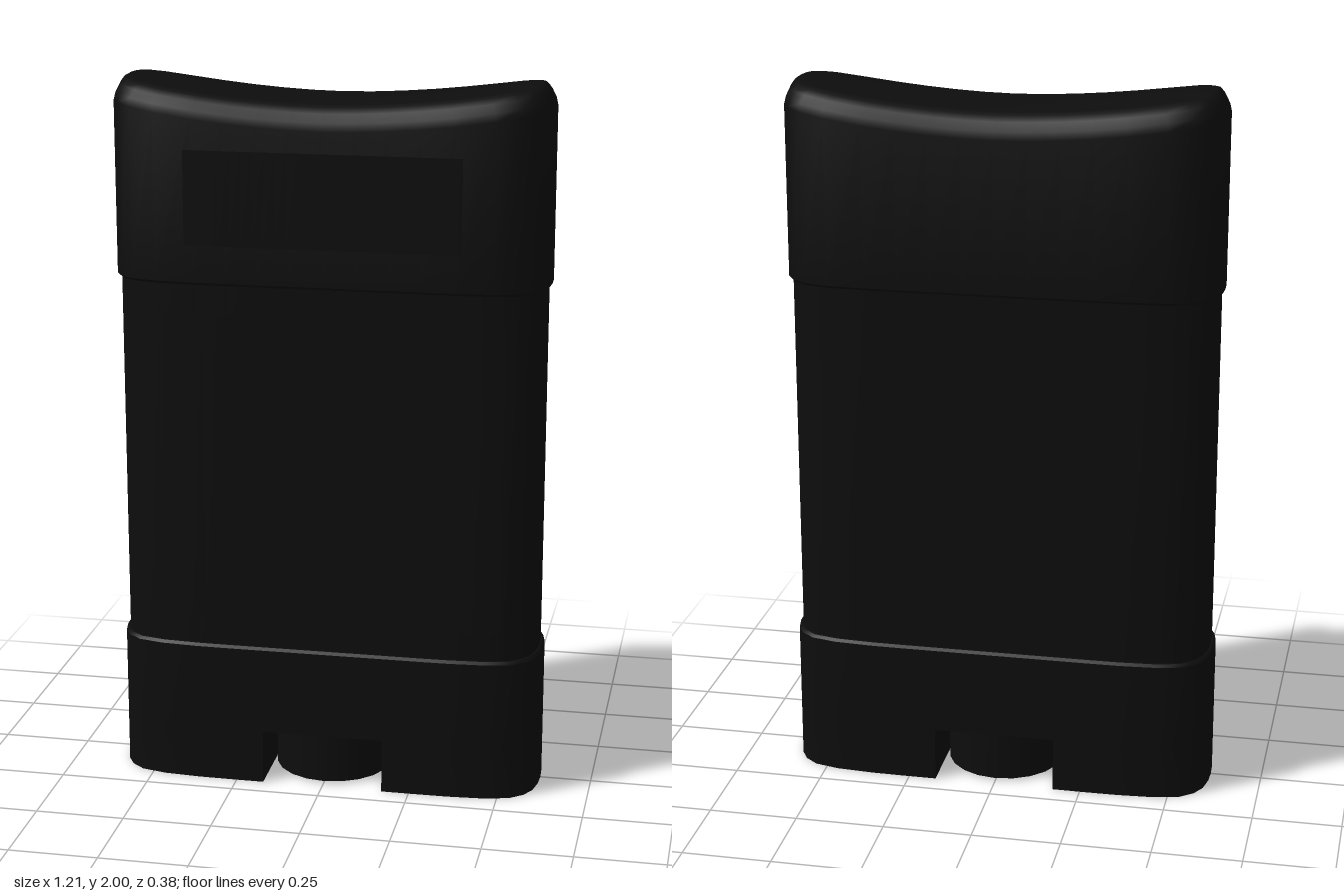
import * as THREE from 'three';
import { toCreasedNormals } from 'three/addons/utils/BufferGeometryUtils.js';

const HALF_W = 0.605, HALF_D = 0.187;
const material = new THREE.MeshStandardMaterial({ color: 0x0d0d0d });
const labelMaterial = material.clone();
labelMaterial.side = THREE.DoubleSide;

// Rounded-oblong plan: front half runs from +x to -x, back half mirrors it.
const quarter = [[0.605, 0], [0.603, 0.045], [0.593, 0.095], [0.572, 0.132], [0.535, 0.162],
  [0.465, 0.179], [0.36, 0.186], [0.27, 0.187], [0.18, 0.187], [0.09, 0.187]];
const front = [...quarter, [0, 0.187], ...quarter.map(([x, z]) => [-x, z]).reverse()];
const outline = [...front, ...front.slice(1, -1).reverse().map(([x, z]) => [x, -z])];

// Plan point pulled inward by dx at the ends and dz at the faces.
const inset = ([x, z], dx, dz) => [x * (1 - dx / HALF_W), z * (1 - dz / HALF_D)];

function addMesh(group, name, geometry, mat = material) {
  const mesh = new THREE.Mesh(geometry, mat);
  mesh.name = name;
  group.add(mesh);
  return mesh;
}

// Closed solid through stacked rings [dx, dz, height], height being a number or a function of x.
function loft(levels) {
  const n = outline.length, half = n / 2, pos = [], idx = [];
  for (const [dx, dz, h] of levels) {
    for (const p of outline) {
      const [x, z] = inset(p, dx, dz);
      pos.push(x, typeof h === 'function' ? h(x) : h, z);
    }
  }
  for (let k = 0; k < levels.length - 1; k++) {
    for (let i = 0; i < n; i++) {
      const a = k * n + i, b = k * n + (i + 1) % n;
      idx.push(a, a + n, b, b, a + n, b + n);
    }
  }
  // Ends: strips joining each front point to the back point opposite.
  const top = (levels.length - 1) * n;
  for (let i = 0; i < half; i++) {
    const f = i, g = i + 1, b = (n - i) % n, c = n - i - 1;
    if (i > 0) idx.push(top + f, top + b, top + g, f, g, b);
    if (i < half - 1) idx.push(top + g, top + b, top + c, g, c, b);
  }
  const geo = new THREE.BufferGeometry();
  geo.setAttribute('position', new THREE.Float32BufferAttribute(pos, 3));
  geo.setIndex(idx);
  return toCreasedNormals(geo, 0.6);
}

// Thin panel following the front of the plan.
function label(halfWidth, y0, y1, dx, dz) {
  const pts = front.map((p) => inset(p, dx, dz));
  const zAt = (x) => {
    const i = pts.findIndex((p) => p[0] <= x);
    const [a, b] = [pts[i - 1], pts[i]];
    return THREE.MathUtils.lerp(a[1], b[1], (a[0] - x) / (a[0] - b[0]));
  };
  const geo = new THREE.PlaneGeometry(halfWidth * 2, y1 - y0, 24, 1);
  geo.translate(0, (y0 + y1) / 2, 0);
  const p = geo.attributes.position;
  for (let i = 0; i < p.count; i++) p.setZ(i, zAt(p.getX(i)) + 0.003);
  geo.computeVertexNormals();
  return geo;
}

export function createModel() {
  const model = new THREE.Group();
  model.name = 'stickContainer';

  // Main body
  addMesh(model, 'body', loft([[0.011, 0.011, 0.38], [0.011, 0.011, 1.48]]));
  addMesh(model, 'bodyLabel', label(0.5, 0.49, 1.37, 0.011, 0.011), labelMaterial);

  // Cap with a saddle-shaped, rounded top
  const topY = (x) => Math.min(2, 1.944 + 0.056 * Math.pow(Math.abs(x) / 0.57, 1.8));
  const below = (drop) => (x) => topY(x) - drop;
  addMesh(model, 'cap', loft([
    [0.006, 0.006, 1.45], [0, 0, 1.457], [0, 0, below(0.065)], [0.005, 0.006, below(0.043)],
    [0.016, 0.021, below(0.02)], [0.026, 0.038, below(0.006)], [0.037, 0.06, below(0)],
  ]));
  addMesh(model, 'capLabel', label(0.38, 1.56, 1.82, 0.001, 0.001), labelMaterial);

  // Base: solid collar above, two feet either side of the dial slot
  const slotHalf = 0.172, slotTop = 0.155;
  const base = new THREE.Group();
  base.name = 'base';
  model.add(base);
  addMesh(base, 'baseCollar', loft([[0, 0, slotTop], [0, 0, 0.402], [0.006, 0.006, 0.41]]));
  const foot = outline.filter(([x]) => x > slotHalf + 0.001);
  const frontPart = foot.filter(([, z]) => z >= 0), backPart = foot.filter(([, z]) => z < 0);
  const loop = [...frontPart, [slotHalf, HALF_D], [slotHalf, -HALF_D], ...backPart];
  for (const side of [1, -1]) {
    const shape = new THREE.Shape(loop.map(([x, z]) => new THREE.Vector2(side * x, z)));
    const geo = new THREE.ExtrudeGeometry(shape, { depth: slotTop, bevelEnabled: false });
    geo.rotateX(Math.PI / 2).translate(0, slotTop, 0);
    addMesh(base, side > 0 ? 'leftFoot' : 'rightFoot', toCreasedNormals(geo, 0.6));
  }

  // Turning dial in the slot
  const dial = new THREE.CylinderGeometry(0.166, 0.166, slotTop - 0.008, 20);
  dial.translate(0, (slotTop + 0.008) / 2, 0);
  addMesh(model, 'dial', dial);

  return model;
}
